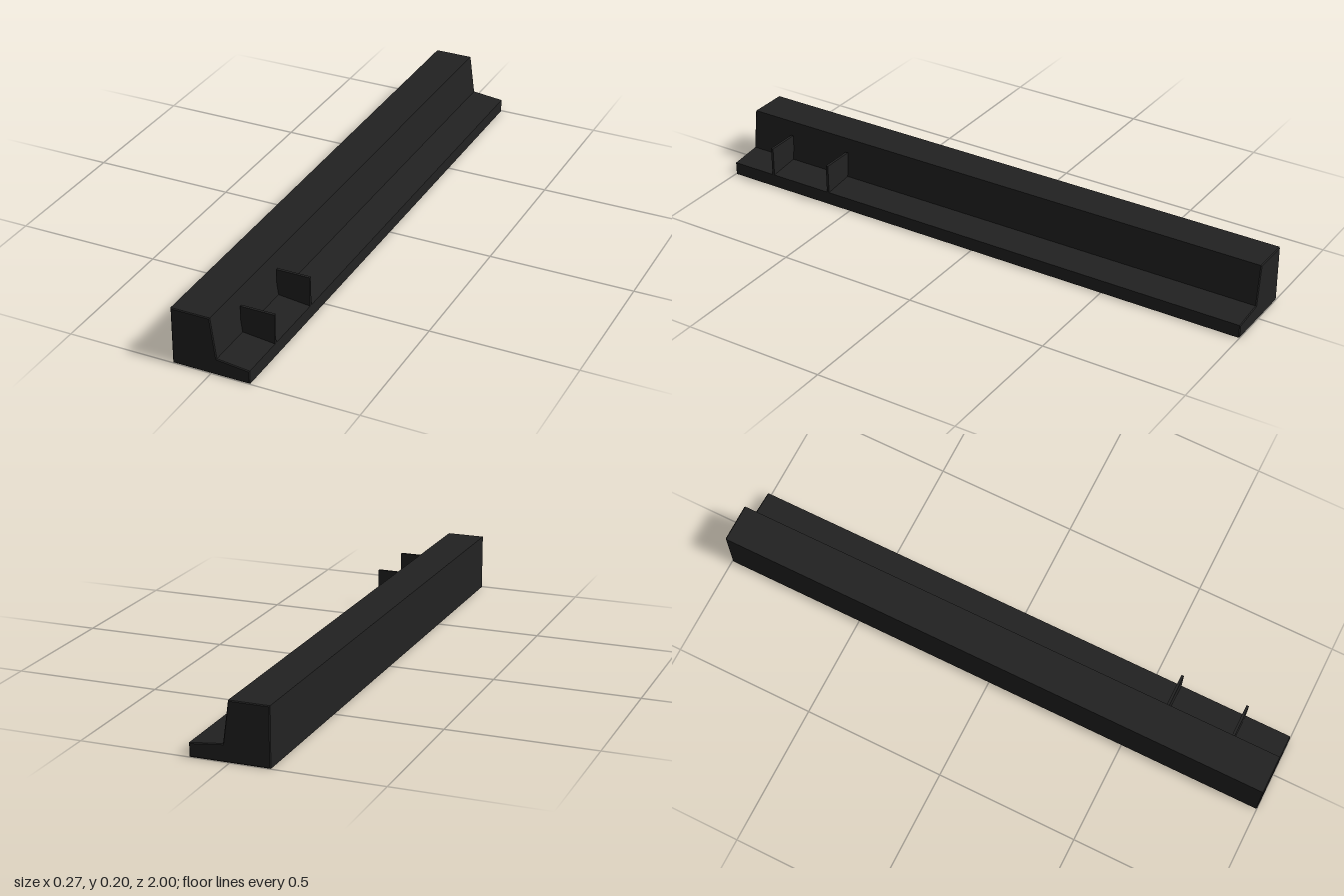
import * as THREE from 'three';

export function createModel() {
  const group = new THREE.Group();
  group.name = 'rail';
  const charcoal = new THREE.MeshStandardMaterial({ name: 'charcoal', color: 0x222222 });

  // Long L-shaped body: tall block with a sloped face and a low, slightly tilted ledge
  const length = 2, bevel = 0.003;
  const profile = new THREE.Shape([
    [-0.133, 0], [0.133, 0], [0.133, 0.046], [0.021, 0.058], [0.002, 0.198], [-0.133, 0.198],
  ].map(([x, y]) => new THREE.Vector2(x, y)));
  const bodyGeometry = new THREE.ExtrudeGeometry(profile, {
    depth: length - 2 * bevel,
    bevelEnabled: true,
    bevelThickness: bevel,
    bevelSize: bevel,
    bevelOffset: -bevel,
    bevelSegments: 1,
  });
  bodyGeometry.translate(0, 0, -length / 2 + bevel);
  const body = new THREE.Mesh(bodyGeometry, charcoal);
  body.name = 'railBody';
  group.add(body);

  // Two thin upright dividers standing on the ledge near the front
  const bottom = 0.03, top = 0.15, left = 0.015, right = 0.1325;
  const dividerGeometry = new THREE.BoxGeometry(right - left, top - bottom, 0.009);
  [0.83, 0.592].forEach((z, i) => {
    const divider = new THREE.Mesh(dividerGeometry, charcoal);
    divider.name = i === 0 ? 'frontDivider' : 'rearDivider';
    divider.position.set((left + right) / 2, (top + bottom) / 2, z);
    group.add(divider);
  });

  return group;
}
